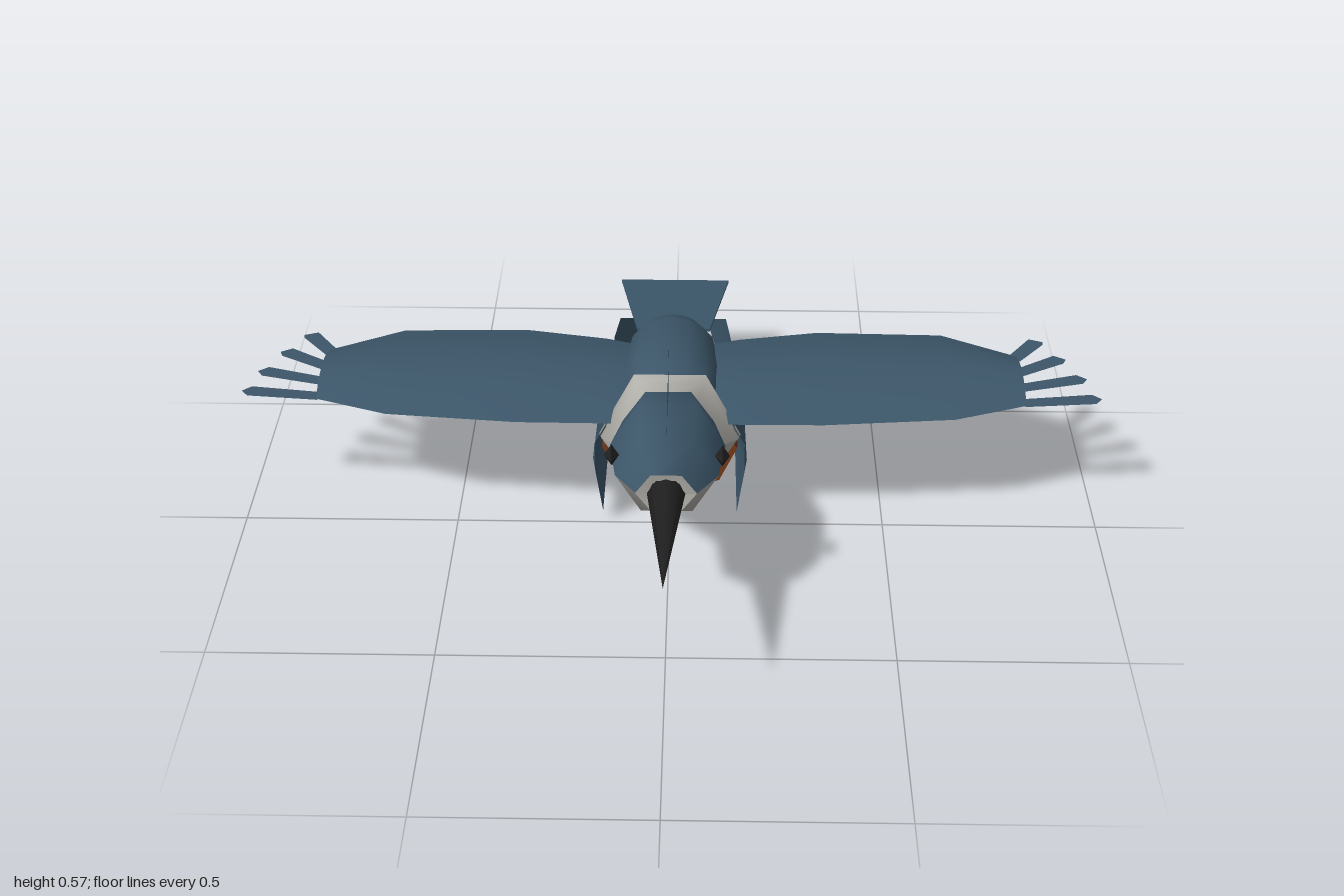
import * as THREE from 'three';

const mat = (name, color, side = THREE.FrontSide) =>
  Object.assign(new THREE.MeshStandardMaterial({ color, side }), { name });

// Skin between rows of [x, y, z] points; flip turns the surface inside out
function loft(rows, flip = false) {
  const n = rows[0].length, index = [];
  for (let i = 0; i < rows.length - 1; i++) {
    for (let j = 0; j < n - 1; j++) {
      const a = i * n + j, b = a + 1, c = a + n, d = c + 1;
      if (flip) index.push(a, b, c, b, d, c);
      else index.push(a, c, b, b, c, d);
    }
  }
  const g = new THREE.BufferGeometry();
  g.setAttribute('position', new THREE.Float32BufferAttribute(rows.flat(2), 3));
  g.setIndex(index);
  g.computeVertexNormals();
  return g;
}

// Six-sided cross-section arc between two corner numbers; tilt leans it along z,
// pinch narrows its lower corners
function hexArc([z, y, rx, ry, tilt = 0, pinch = 1], from, to) {
  const pts = [];
  for (let k = from; k <= to; k++) {
    const a = k * Math.PI / 3;
    const dy = ry * Math.sin(a) / Math.sin(Math.PI / 3);
    const w = k === 4 || k === 5 ? rx * pinch : rx;
    pts.push([w * Math.cos(a), y + dy, z + tilt * dy]);
  }
  return pts;
}

const outline = points => new THREE.Shape(points.map(p => new THREE.Vector2(...p)));

// Paper-thin plate drawn in [x, z], lying level
const flatPlate = points =>
  new THREE.ShapeGeometry(outline(points.map(([x, z]) => [x, -z]))).rotateX(-Math.PI / 2);

export function createModel() {
  const blue = mat('slateBlue', 0x3c5669, THREE.DoubleSide);
  const grey = mat('paleGrey', 0xb5b3ad);
  const rust = mat('rust', 0x7c3d1b);
  const black = mat('black', 0x201f1f, THREE.DoubleSide);
  const bird = new THREE.Group();
  bird.name = 'bird';
  const add = (parent, name, geometry, material, x = 0, y = 0, z = 0) => {
    const m = new THREE.Mesh(geometry, material);
    m.name = name;
    m.position.set(x, y, z);
    parent.add(m);
    return m;
  };

  // Head: blue crown above, pale throat below, drawn in around the beak
  const head = [
    [0.418, 0.374, 0.042, 0.034], [0.42, 0.378, 0.065, 0.045], [0.36, 0.382, 0.11, 0.092],
    [0.25, 0.385, 0.125, 0.105], [0.16, 0.39, 0.1, 0.075], [0.12, 0.405, 0.05, 0.035],
  ];
  add(bird, 'crown', loft(head.slice(1).map(r => hexArc(r, 0, 3))), blue);
  add(bird, 'throat', loft(head.slice(1).map(r => hexArc(r, 3, 6))), grey);
  add(bird, 'beakSurround', loft(head.slice(0, 2).map(r => hexArc(r, 0, 6))), grey);

  // Beak
  add(bird, 'beak', new THREE.ConeGeometry(0.041, 0.33, 8).rotateX(Math.PI / 2), black, 0, 0.373, 0.575);

  // Crest: jagged upright plate, drawn in [z, y]
  add(bird, 'crest', new THREE.ShapeGeometry(outline([
    [0.36, 0.475], [0.33, 0.5], [0.245, 0.55], [0.262, 0.515], [0.18, 0.573], [0.205, 0.522],
    [0.11, 0.557], [0.155, 0.475], [0.2, 0.45],
  ])).rotateY(-Math.PI / 2), blue);

  // Neck and collar, closed at the back
  const neck = [
    [0.19, 0.365, 0.09, 0.085, -0.7], [0.115, 0.3, 0.125, 0.1, -0.25], [0.035, 0.26, 0.155, 0.14, -0.1, 0.85],
    [-0.008, 0.245, 0.163, 0.155, -0.05, 0.68],
  ];
  add(bird, 'neck', loft(neck.map(r => hexArc(r, 0, 6))), grey);
  add(bird, 'collarBack', loft([neck[3], [-0.01, 0.243, 0.01, 0.01]].map(r => hexArc(r, 0, 6))), grey);

  // Body: z, back half width, shoulder y, back top y, belly half width, belly bottom y
  const body = [
    [0.004, 0.1, 0.3, 0.36, 0.155, 0.088], [-0.09, 0.112, 0.295, 0.38, 0.158, 0.07],
    [-0.18, 0.115, 0.29, 0.39, 0.152, 0.066], [-0.33, 0.104, 0.28, 0.365, 0.126, 0.09],
    [-0.44, 0.068, 0.262, 0.312, 0.076, 0.16], [-0.5, 0.018, 0.25, 0.265, 0.02, 0.235],
  ];
  add(bird, 'back', loft(body.map(([z, w, y, top]) => Array.from({ length: 9 }, (_, k) => {
    const a = k * Math.PI / 8;
    return [w * Math.cos(a), y + (top - y) * Math.sin(a), z];
  }))), blue);
  const bellyRows = body.map(([z, w, y, , b, low]) => {
    const h = y - low;
    const half = [[w, y], [b, y - 0.4 * h], [b * 0.74, y - 0.82 * h]];
    return [
      ...half.map(([x, v]) => [-x, v, z]), [0, low, z],
      ...half.reverse().map(([x, v]) => [x, v, z]),
    ];
  });
  add(bird, 'belly', loft(bellyRows), rust);
  add(bird, 'bellyFront', loft([bellyRows[0].map(([, , z]) => [0, 0.24, z]), bellyRows[0]]), rust);

  // Tail fan
  const tail = new THREE.ExtrudeGeometry(outline([[-0.09, 0], [0.09, 0], [0.138, 0.26], [-0.138, 0.26]]),
    { depth: 0.006, bevelEnabled: false }).rotateX(-Math.PI / 2);
  add(bird, 'tail', tail, blue, 0, 0.24, -0.48).rotation.x = -0.025;

  // Paired parts, built on the left and mirrored
  for (const side of [1, -1]) {
    const half = new THREE.Group();
    half.name = side > 0 ? 'leftSide' : 'rightSide';
    half.scale.x = side;
    bird.add(half);

    // Eye
    add(half, 'eye', new THREE.OctahedronGeometry(0.027).scale(0.6, 1, 1), black, 0.118, 0.41, 0.325);

    // Spread wing: x, leading z, trailing z, edge y, arch height
    const wing = [
      [0.09, 0.03, -0.33, 0.298, 0.03], [0.16, 0.035, -0.35, 0.3, 0.035], [0.35, 0.035, -0.385, 0.301, 0.038],
      [0.65, 0.005, -0.38, 0.3, 0.038], [0.82, -0.06, -0.29, 0.298, 0.03],
    ];
    const skin = bulge => wing.map(([x, lead, trail, y, arch]) => Array.from({ length: 7 }, (_, k) => {
      const t = k / 6;
      return [x, y + arch * bulge * Math.sin(Math.PI * t) - 0.006 * t, lead + (trail - lead) * t];
    }));
    add(half, 'wingTop', loft(skin(1)), blue);
    add(half, 'wingUnderside', loft(skin(0.1), true), blue);

    // Wingtip feathers: base z, tip x, tip z
    for (const [zb, xt, zt] of [
      [-0.27, 0.885, -0.35], [-0.205, 0.93, -0.27], [-0.14, 0.968, -0.182], [-0.075, 0.99, -0.095],
    ]) {
      const d = new THREE.Vector2(xt - 0.815, zt - zb).normalize();
      const corner = (x, z, w) => [x - d.y * w, z + d.x * w];
      add(half, 'wingtipFeather', flatPlate([
        corner(0.815, zb, 0.017), corner(xt - 0.01, zt, 0.021), corner(xt + 0.008, zt, 0),
        corner(xt - 0.01, zt, -0.019), corner(0.815, zb, -0.017),
      ]), blue, 0, 0.296, 0);
    }

    // Hanging flank cover: z, top y, bottom y, then x at top, middle and bottom
    const flank = [
      [0.02, 0.298, 0.16, 0.14, 0.172, 0.172], [-0.005, 0.298, 0.03, 0.14, 0.178, 0.157],
      [-0.23, 0.298, 0.04, 0.14, 0.173, 0.155], [-0.35, 0.3, 0.063, 0.14, 0.155, 0.145],
      [-0.44, 0.3, 0.09, 0.129, 0.135, 0.132], [-0.55, 0.235, 0.165, 0.1, 0.102, 0.102],
      [-0.58, 0.215, 0.195, 0.087, 0.088, 0.088],
    ];
    add(half, 'flankCover', loft(flank.map(([z, top, low, a, b, c]) =>
      [[c, low, z], [b, 0.55 * top + 0.45 * low, z], [a, top, z]])), blue);

    // Leg and flat foot
    add(half, 'thigh', new THREE.CylinderGeometry(0.028, 0.014, 0.085, 6), rust, 0.07, 0.09, -0.28);
    add(half, 'shank', new THREE.CylinderGeometry(0.014, 0.014, 0.055, 6), black, 0.07, 0.0275, -0.28);
    for (const angle of [-0.5, 0, 0.5, Math.PI]) {
      const toe = add(half, 'toe', flatPlate([[-0.008, 0], [-0.007, 0.04], [0, 0.065], [0.007, 0.04], [0.008, 0]]),
        black, 0.07, 0.001, -0.28);
      toe.rotation.y = angle;
    }
  }
  return bird;
}
